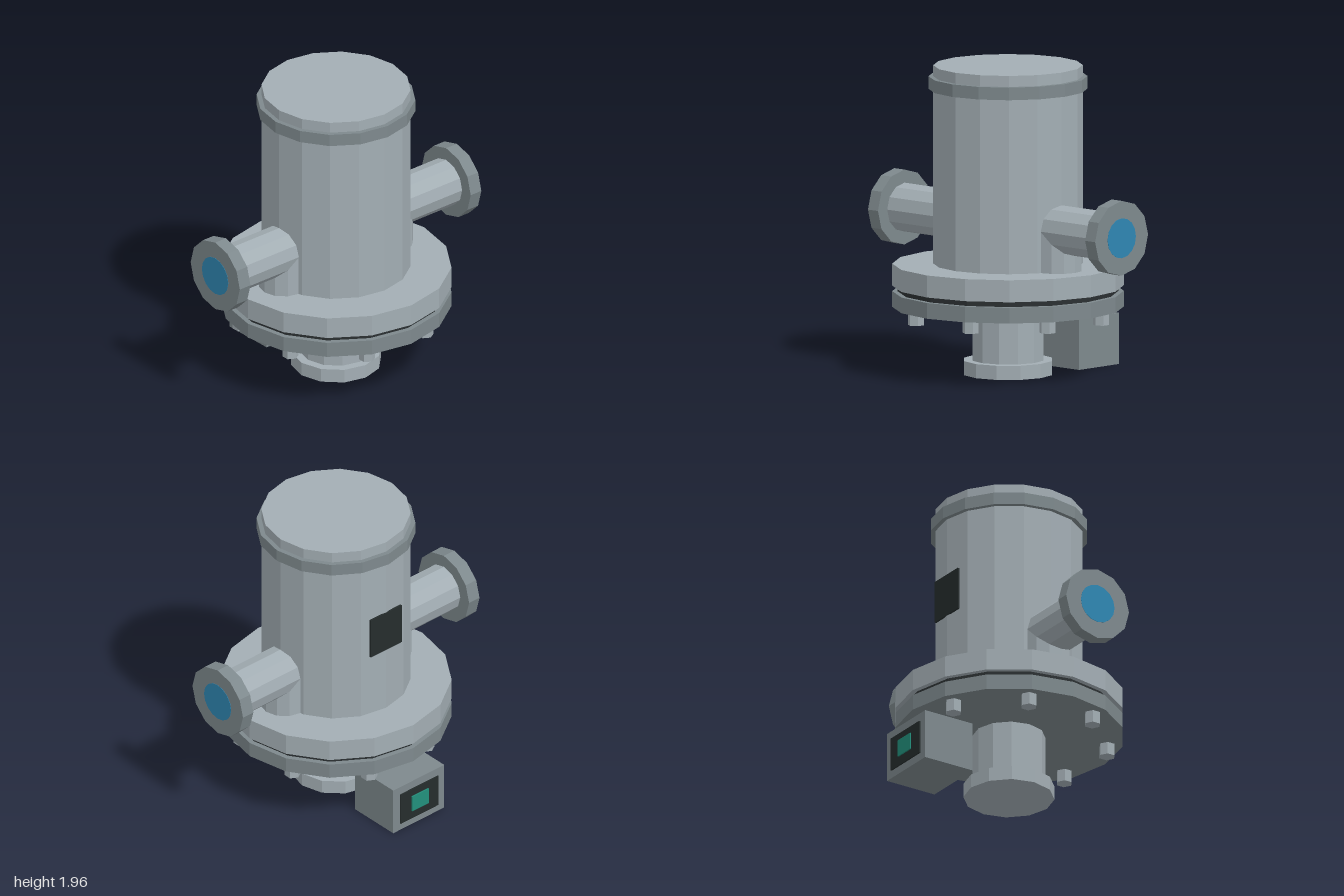
import * as THREE from 'three';

export function createModel() {
  const model = new THREE.Group();
  model.name = 'vacuumPump';

  const paint = (name, color) => {
    const m = new THREE.MeshStandardMaterial({ color, flatShading: true });
    m.name = name;
    return m;
  };
  const lightGrey = paint('lightGrey', 0xa3aeb4);
  const darkGrey = paint('darkGrey', 0x7e898d);
  const rubber = paint('rubberBlack', 0x2b3032);
  const plateBlack = paint('plateBlack', 0x252c2c);
  const green = paint('displayGreen', 0x22907c);
  const blue = paint('portBlue', 0x2f86b2);

  const Z = 0.034; // shared vertical axis of the round parts

  const add = (name, geometry, material, x, y, z) => {
    const mesh = new THREE.Mesh(geometry, material);
    mesh.name = name;
    mesh.position.set(x, y, z);
    model.add(mesh);
    return mesh;
  };
  // Upright prism between two heights
  const drum = (name, r, y0, y1, sides, material, x = 0, z = Z) =>
    add(name, new THREE.CylinderGeometry(r, r, y1 - y0, sides), material, x, (y0 + y1) / 2, z);
  // Sideways prism between two x positions
  const sideDrum = (name, r, x0, x1, y, sides, material) => {
    const geometry = new THREE.CylinderGeometry(r, r, Math.abs(x1 - x0), sides).rotateZ(-Math.PI / 2);
    return add(name, geometry, material, (x0 + x1) / 2, y, Z);
  };
  const box = (name, w, y0, y1, z0, z1, material) =>
    add(name, new THREE.BoxGeometry(w, y1 - y0, z1 - z0), material, 0, (y0 + y1) / 2, (z0 + z1) / 2);

  // Tall vessel with its lid
  drum('vessel', 0.47, 0.70, 1.81, 16, lightGrey);
  drum('lidRing', 0.5, 1.81, 1.89, 16, darkGrey);
  drum('lid', 0.47, 1.89, 1.96, 16, lightGrey);

  // Main flange pair with gasket
  drum('upperFlange', 0.728, 0.56, 0.70, 16, lightGrey);
  drum('gasket', 0.695, 0.525, 0.56, 16, rubber);
  drum('lowerFlange', 0.728, 0.425, 0.525, 16, darkGrey);

  // Hexagonal bolts under the flange
  for (let i = 0; i < 8; i++) {
    const a = (i + 0.5) * Math.PI / 4;
    drum('bolt', 0.052, 0.345, 0.425, 6, lightGrey, 0.63 * Math.cos(a), Z + 0.63 * Math.sin(a));
  }

  // Bottom neck and foot flange
  drum('bottomNeck', 0.23, 0.09, 0.425, 12, lightGrey);
  drum('footFlange', 0.287, 0, 0.09, 12, lightGrey);

  // Side ports: equal pipes meeting in a mitred elbow, end flange, blue opening
  for (const s of [1, -1]) {
    drum('portRiser', 0.155, 0.70, 0.963, 12, lightGrey, s * 0.435);
    sideDrum('portPipe', 0.155, s * 0.28, s * 0.91, 0.963, 12, lightGrey);
    sideDrum('portFlange', 0.238, s * 0.91, s * 0.998, 0.963, 12, darkGrey);
    sideDrum('portOpening', 0.127, s * 0.995, s * 1.0, 0.963, 16, blue);
  }

  // Nameplate on the back of the vessel
  box('nameplate', 0.26, 1.145, 1.425, -0.441, -0.428, plateBlack);

  // Control box with panel and display
  box('controlBox', 0.43, 0, 0.325, -0.745, -0.385, darkGrey);
  box('controlPanel', 0.32, 0.05, 0.27, -0.754, -0.745, plateBlack);
  box('display', 0.14, 0.11, 0.22, -0.763, -0.754, green);

  return model;
}
